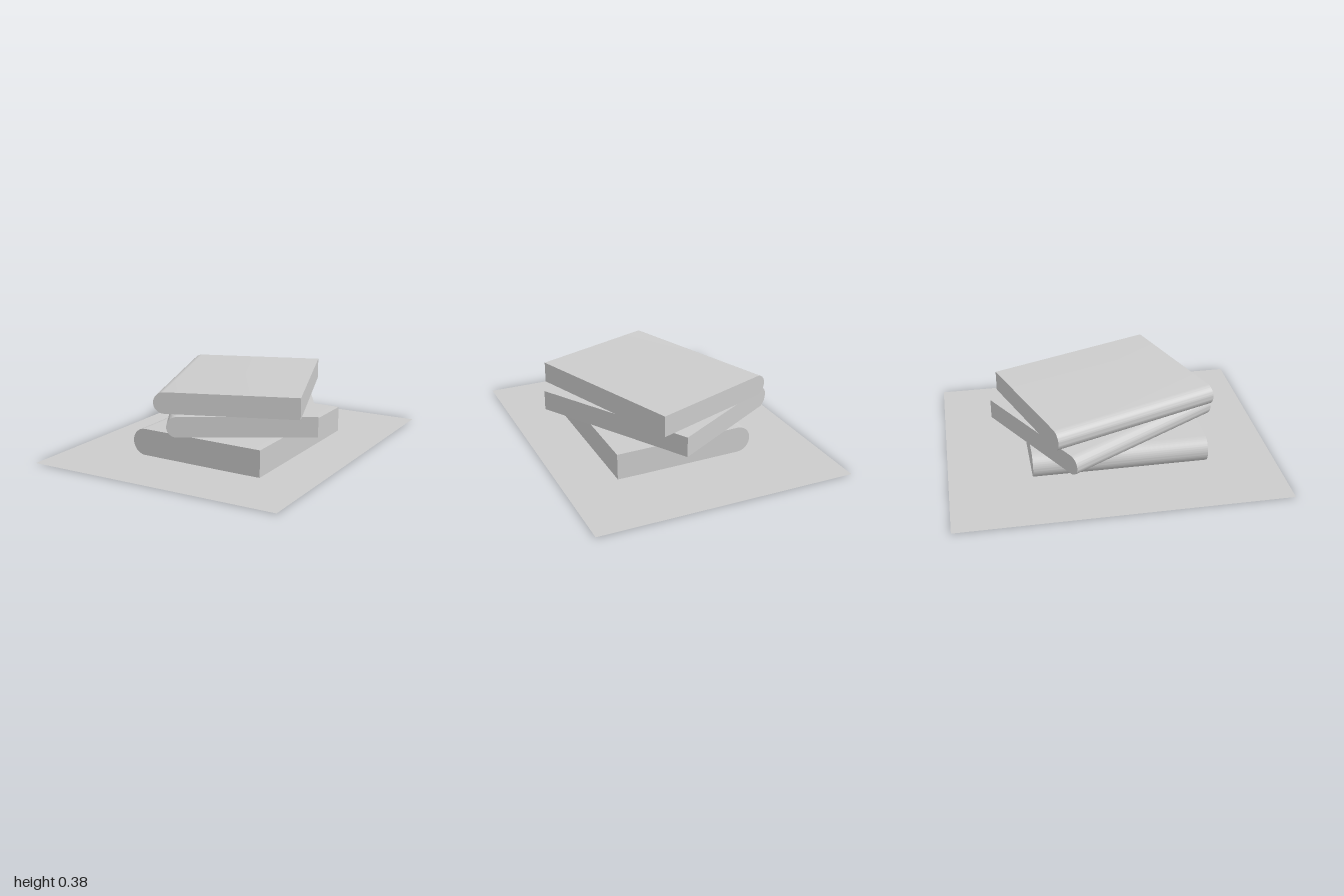
import * as THREE from 'three';
import { toCreasedNormals } from 'three/addons/utils/BufferGeometryUtils.js';

const material = new THREE.MeshStandardMaterial({ color: 0xcccccc, side: THREE.DoubleSide });

// Solid closed book: boxy page block with a half-round spine facing back
function makeBook(name, { width, depth, bottom, top, x, z, angle }) {
  const height = top - bottom;
  const r = height / 2;
  const profile = new THREE.Shape();
  profile.moveTo(-depth / 2, -r);
  profile.lineTo(depth / 2 - r, -r);
  profile.absarc(depth / 2 - r, 0, r, -Math.PI / 2, Math.PI / 2, false);
  profile.lineTo(-depth / 2, r);
  profile.closePath();

  const extruded = new THREE.ExtrudeGeometry(profile, { depth: width, bevelEnabled: false, curveSegments: 20 });
  extruded.translate(0, 0, -width / 2);
  extruded.rotateY(Math.PI / 2);
  const book = new THREE.Mesh(toCreasedNormals(extruded, Math.PI / 6), material);
  book.name = name;
  book.position.set(x, (bottom + top) / 2, z);
  book.rotation.y = THREE.MathUtils.degToRad(angle);
  return book;
}

export function createModel() {
  const group = new THREE.Group();
  group.name = 'bookStack';

  // Thin sheet under the stack
  const sheetGeometry = new THREE.PlaneGeometry(1.777, 1.416);
  sheetGeometry.rotateX(-Math.PI / 2);
  const sheet = new THREE.Mesh(sheetGeometry, material);
  sheet.name = 'groundSheet';
  sheet.position.y = 0.003;
  sheet.rotation.y = THREE.MathUtils.degToRad(10);
  group.add(sheet);

  // Three books, each turned differently; the lowest leans very slightly forward
  const bottomBook = makeBook('bottomBook', {
    width: 0.95, depth: 0.767, bottom: 0.006, top: 0.151, x: -0.028, z: 0.037, angle: 10,
  });
  bottomBook.rotation.order = 'YXZ';
  bottomBook.rotation.x = 0.012;
  group.add(bottomBook);
  group.add(makeBook('middleBook', {
    width: 0.95, depth: 0.777, bottom: 0.156, top: 0.266, x: 0.02, z: 0.007, angle: 40,
  }));
  group.add(makeBook('topBook', {
    width: 0.95, depth: 0.762, bottom: 0.27, top: 0.384, x: 0.007, z: 0.018, angle: 30,
  }));
  return group;
}
